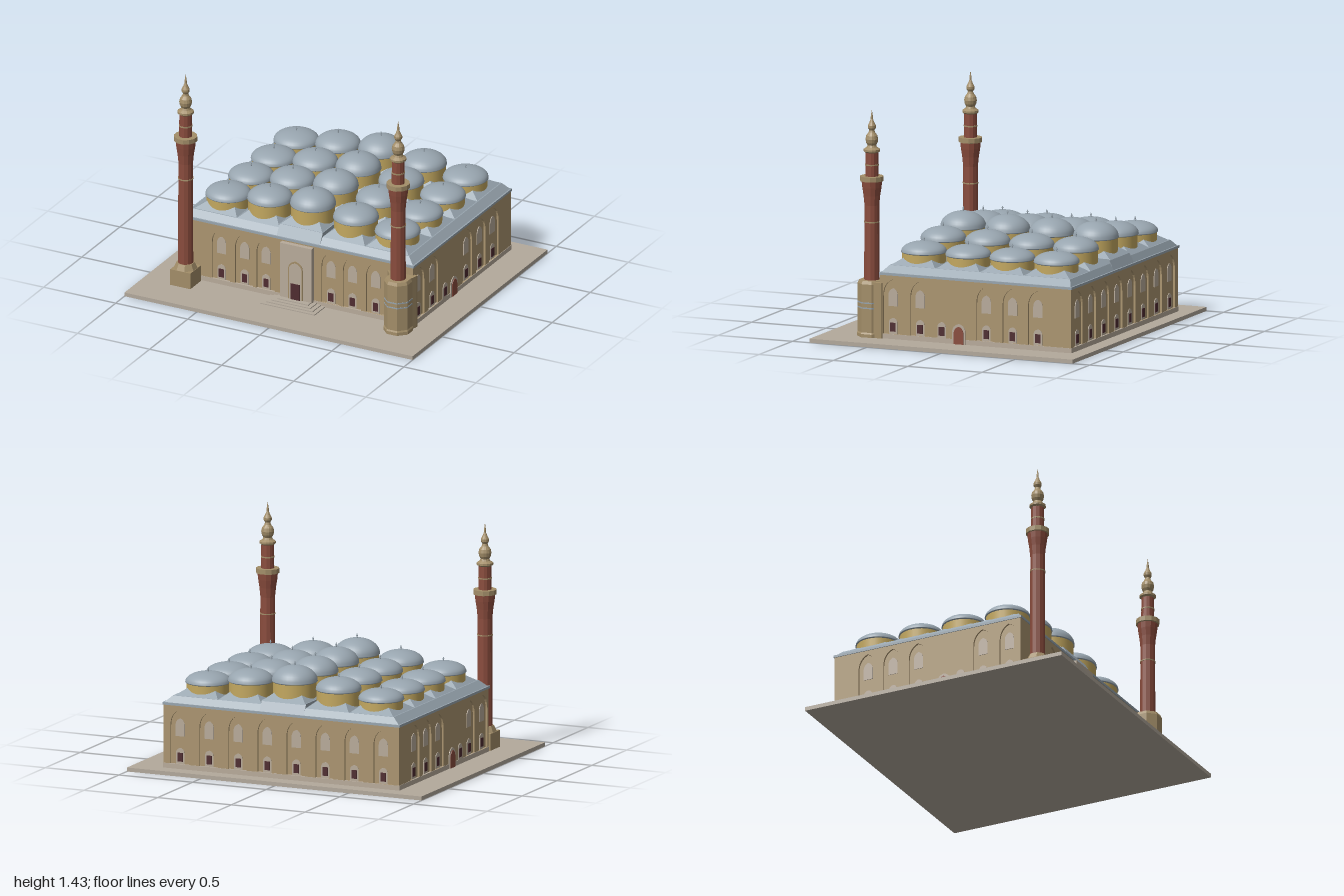
import * as THREE from 'three';

const mat = (name, color) => Object.assign(new THREE.MeshStandardMaterial({ color }), { name });
const M = {
  paving: mat('paving', 0xb3a99c),
  wall: mat('sandstone wall', 0xab9570),
  pale: mat('pale stone', 0xb8ab9b),
  lead: mat('lead roof', 0x98a5af),
  drum: mat('golden drum', 0xc3a860),
  dark: mat('dark opening', 0x4f2c30),
  brick: mat('red brick', 0x8a4c3d),
  trim: mat('carved trim', 0xa38e69),
};

function add(parent, name, geo, material, x = 0, y = 0, z = 0) {
  const m = new THREE.Mesh(geo, material);
  m.name = name;
  m.position.set(x, y, z);
  parent.add(m);
  return m;
}

// box given by its limits; rects are [x0, x1, z0, z1] at the bottom and top
function frustum(bottom, y0, top, y1) {
  const g = new THREE.BoxGeometry(1, 1, 1), p = g.attributes.position;
  for (let i = 0; i < p.count; i++) {
    const up = p.getY(i) > 0, r = up ? top : bottom;
    p.setXYZ(i, r[p.getX(i) > 0 ? 1 : 0], up ? y1 : y0, r[p.getZ(i) > 0 ? 3 : 2]);
  }
  g.computeVertexNormals();
  return g;
}
const block = (r, y0, y1) => frustum(r, y0, r, y1);

function lathe(pts, sides, faceted) {
  let g = new THREE.LatheGeometry(pts.map(p => new THREE.Vector2(p[0], p[1])), sides, Math.PI / sides);
  if (faceted) {
    g = g.toNonIndexed();
    g.computeVertexNormals();
  }
  return g;
}

// pointed arch outline: bottom y0, springing ys, peak y1
function arch(cx, w, y0, ys, y1, Type = THREE.Shape) {
  const s = new Type(), h = w / 2;
  s.moveTo(cx - h, y0);
  s.lineTo(cx + h, y0);
  s.lineTo(cx + h, ys);
  s.quadraticCurveTo(cx + h, ys + (y1 - ys) * 0.75, cx, y1);
  s.quadraticCurveTo(cx - h, ys + (y1 - ys) * 0.75, cx - h, ys);
  return s;
}
const plate = (shape, depth = 0.004) =>
  new THREE.ExtrudeGeometry(shape, { depth, bevelEnabled: false, curveSegments: 6 });

const FLOOR = 0.025, EAVES = 0.42, RECESS = 0.012;

function lowerWindow(g, x, z) {
  add(g, 'lowerWindowFrame', plate(arch(x, 0.056, 0.055, 0.125, 0.155)), M.pale, 0, 0, z);
  add(g, 'lowerWindow', plate(arch(x, 0.036, 0.07, 0.124, 0.125), 0.007), M.dark, 0, 0, z);
}

// wall facing +z with a blind arch round each window; extras are low windows only
function wall(name, u0, u1, windows, extras = [], door = null) {
  const g = new THREE.Group();
  g.name = name;
  const s = new THREE.Shape();
  s.moveTo(u0, FLOOR);
  s.lineTo(u1, FLOOR);
  s.lineTo(u1, EAVES);
  s.lineTo(u0, EAVES);
  for (const u of windows) s.holes.push(arch(u, 0.125, 0.055, 0.29, 0.395, THREE.Path));
  add(g, 'archedWallFace', plate(s, RECESS), M.wall, 0, 0, -RECESS);
  add(g, 'plinth', block([u0, u1, -RECESS, 0.003], FLOOR, 0.055), M.pale);
  for (const u of windows) {
    add(g, 'upperWindow', plate(arch(u, 0.062, 0.228, 0.295, 0.34)), M.pale, 0, 0, -RECESS);
    lowerWindow(g, u, -RECESS);
  }
  for (const u of extras) lowerWindow(g, u, 0);
  if (door !== null) {
    add(g, 'sideDoorFrame', plate(arch(door, 0.088, FLOOR, 0.1, 0.152), 0.005), M.pale);
    add(g, 'sideDoor', plate(arch(door, 0.064, FLOOR, 0.09, 0.135), 0.009), M.brick);
  }
  return g;
}

function minaret(x, z, shaftBase) {
  const g = new THREE.Group();
  g.name = 'minaret';
  g.position.set(x, 0, z);
  const part = (name, pts, m, sides = 12) => add(g, name, lathe(pts, sides, true), m);
  part('shaft', [[0.048, shaftBase], [0.046, 0.84], [0.052, 0.9], [0.06, 0.95], [0.064, 0.99]], M.brick);
  part('shaftBand', [[0.045, 0.732], [0.049, 0.732], [0.049, 0.739], [0.045, 0.739]], M.trim);
  part('balcony', [[0.05, 0.985], [0.073, 0.99], [0.073, 1.02], [0, 1.02]], M.trim);
  part('upperShaft', [[0.041, 1.02], [0.04, 1.175]], M.brick);
  part('upperBand', [[0.038, 1.087], [0.043, 1.087], [0.043, 1.095], [0.038, 1.095]], M.trim);
  part('crown', [[0.038, 1.165], [0.051, 1.175], [0.051, 1.187], [0.032, 1.2], [0.027, 1.212],
    [0.036, 1.228], [0.04, 1.25], [0.035, 1.272], [0.02, 1.292], [0.016, 1.305], [0.025, 1.32],
    [0.025, 1.335], [0.015, 1.355], [0.007, 1.375], [0.007, 1.39], [0, 1.435]], M.trim, 14);
  return g;
}

export function createModel() {
  const model = new THREE.Group();
  model.name = 'mosque';
  add(model, 'courtyard', block([-1, 1, -0.885, 0.885], 0, FLOOR), M.paving);

  // hall and its four faces
  add(model, 'hallCore', block([-0.788, 0.788, -0.773, 0.488], FLOOR, EAVES), M.wall);
  const front = wall('frontWall', -0.8, 0.8, [-0.535, -0.374, -0.225, 0.225, 0.374, 0.535]);
  front.position.z = 0.5;
  const back = wall('backWall', -0.8, 0.8, Array.from({ length: 8 }, (_, i) => -0.69 + i * 0.197));
  back.position.z = -0.785;
  back.rotation.y = Math.PI;
  model.add(front, back);
  const sideZ = [0.417, 0.235, -0.21, -0.386, -0.557];
  for (const s of [1, -1]) {
    const ends = [-0.5 * s, 0.785 * s].sort((a, b) => a - b);
    const side = wall(s > 0 ? 'leftWall' : 'rightWall', ends[0], ends[1], sideZ.map(z => -z * s), [-0.085 * s], 0.03 * s);
    side.position.x = 0.8 * s;
    side.rotation.y = s * Math.PI / 2;
    model.add(side);
  }

  // entrance portal with stepped platform
  add(model, 'portal', block([-0.11, 0.11, 0.48, 0.53], FLOOR, 0.41), M.pale);
  add(model, 'portalArch', plate(arch(0, 0.1, 0.045, 0.25, 0.305)), M.trim, 0, 0, 0.53);
  add(model, 'portalNiche', plate(arch(0, 0.088, 0.045, 0.245, 0.293), 0.006), M.pale, 0, 0, 0.53);
  add(model, 'mainDoor', block([-0.032, 0.032, 0.53, 0.539], 0.045, 0.155), M.dark);
  for (let i = 0; i < 4; i++) {
    const w = 0.19 - i * 0.028;
    add(model, 'step', block([-w, w, 0.48, 0.64 - i * 0.025], FLOOR, FLOOR + 0.006 * (i + 1)), M.paving);
  }

  // roof eaves and sloping skirt
  add(model, 'eaves', block([-0.805, 0.805, -0.79, 0.505], EAVES, 0.435), M.lead);
  add(model, 'roofSkirt', frustum([-0.795, 0.795, -0.78, 0.495], 0.435, [-0.75, 0.75, -0.755, 0.46], 0.475), M.lead);
  add(model, 'centralRoof', frustum([-0.15, 0.15, -0.78, 0.495], 0.435, [-0.15, 0.15, -0.745, 0.457], 0.5), M.lead);

  // domed bays, rising towards the middle column
  const xs = [-0.587, -0.298, 0, 0.298, 0.587], zs = [-0.591, -0.294, 0.003, 0.301];
  const xe = [-0.75, -0.443, -0.15, 0.15, 0.443, 0.75], ze = [-0.755, -0.443, -0.147, 0.152, 0.46];
  const base = [0.47, 0.475, 0.495], rim = [0.545, 0.578, 0.605], top = [0.61, 0.655, 0.702];
  xs.forEach((x, i) => zs.forEach((z, j) => {
    const k = 2 - Math.abs(i - 2), h = 0.08;
    const cell = [xe[i], xe[i + 1], ze[j], ze[j + 1]];
    add(model, 'bayRoof', frustum(cell, base[k], [x - h, x + h, z - h, z + h], base[k] + 0.055), M.lead);
    add(model, 'drum', lathe([[0.135, 0.45], [0.135, rim[k]]], 32), M.drum, x, 0, z);
    const dome = [[0.135, rim[k] - 0.004], [0.142, rim[k]]];
    for (let n = 0; n <= 10; n++) {
      const a = n / 10 * Math.PI / 2;
      dome.push([Math.max(0, 0.141 * Math.cos(a)), rim[k] + 0.003 + (top[k] - rim[k] - 0.003) * Math.sin(a)]);
    }
    add(model, 'dome', lathe(dome, 32), M.lead, x, 0, z);
    add(model, 'finial', lathe([[0.005, -0.002], [0.003, 0.008], [0.006, 0.013], [0, 0.03]], 8), M.lead, x, top[k], z);
  }));

  // minaret on a square pedestal
  const right = minaret(-0.735, 0.583, 0.15);
  const sq = [-0.07, 0.07, -0.07, 0.07];
  add(right, 'pedestal', block(sq, FLOOR, 0.13), M.trim);
  add(right, 'pedestalShoulder', lathe([[0.073, 0.13], [0.056, 0.168], [0, 0.168]], 8, true), M.trim);

  // minaret on a tall octagonal pedestal joined to the hall
  const left = minaret(0.74, 0.583, 0.36);
  add(left, 'pedestal', lathe([[0.092, FLOOR], [0.092, 0.045], [0.087, 0.055], [0.087, 0.355], [0.078, 0.375], [0, 0.377]], 8, true), M.trim);
  for (const y of [0.203, 0.235])
    add(left, 'pedestalBand', lathe([[0.086, y], [0.089, y], [0.089, y + 0.008], [0.086, y + 0.008]], 8, true), M.lead);
  const web = new THREE.Shape([[-0.115, 0.1], [-0.115, 0.08], [-0.06, 0.01], [0.06, 0.01], [0.08, 0.08], [0.08, 0.1]]
    .map(p => new THREE.Vector2(p[0], p[1])));
  const link = add(left, 'pedestalLink', new THREE.ExtrudeGeometry(web, { depth: 0.345, bevelEnabled: false }), M.trim, 0, FLOOR, 0);
  link.rotation.x = -Math.PI / 2;
  model.add(right, left);
  return model;
}
